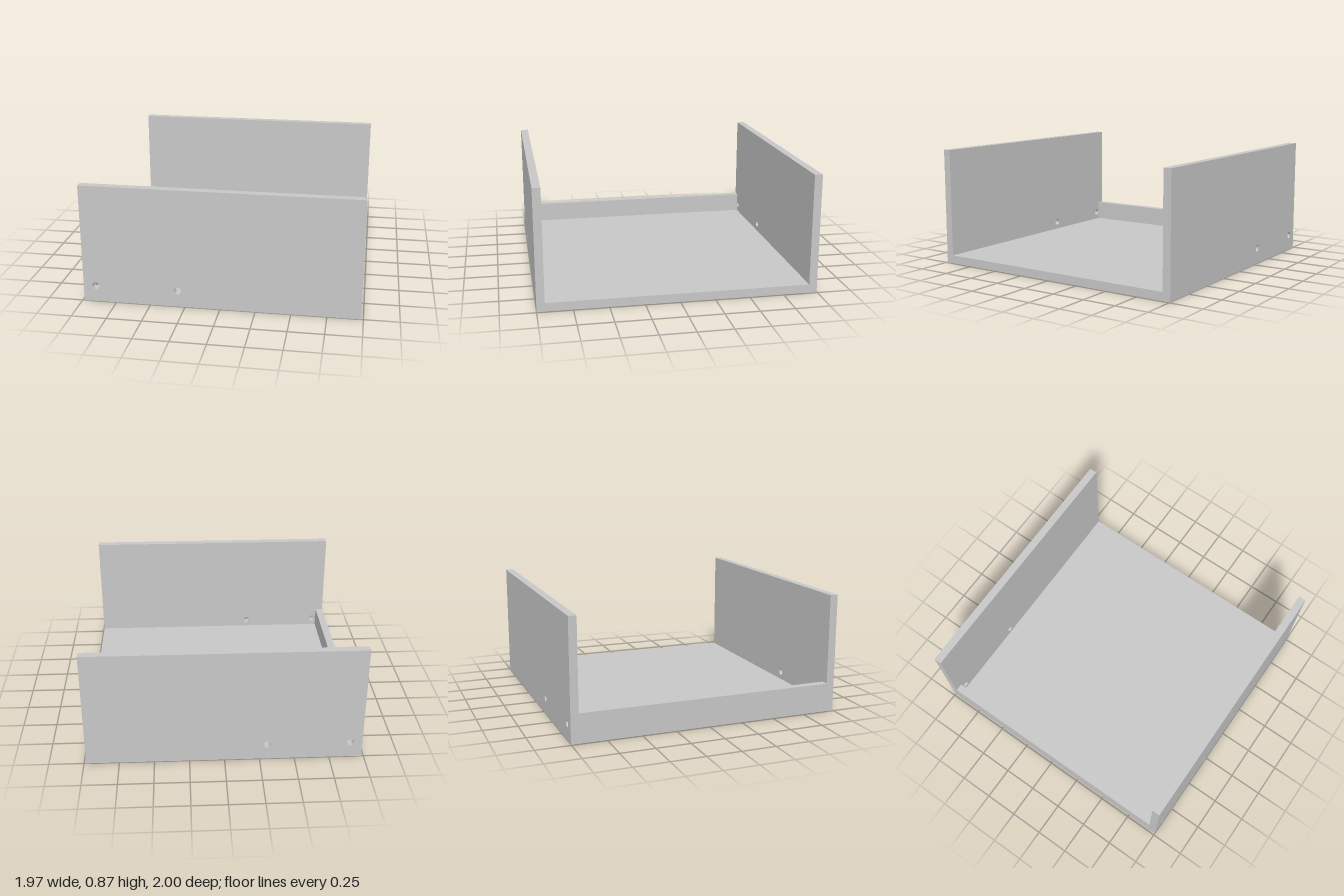
import * as THREE from 'three';

const HALF_X = 0.985, HEIGHT = 0.87, WALL = 0.058, FLOOR = 0.06, LIP = 0.21;
const HOLES = [-0.896, -0.3], HOLE_Y = 0.12, HOLE_R = 0.026;

export function createModel() {
  const model = new THREE.Group();
  model.name = 'tray';
  const grey = new THREE.MeshStandardMaterial({ color: 0xc8c8c8 });
  grey.name = 'lightGrey';

  const add = (name, geometry, x, y, z) => {
    const mesh = new THREE.Mesh(geometry, grey);
    mesh.name = name;
    mesh.position.set(x, y, z);
    model.add(mesh);
  };

  // Side wall outline with two round screw holes
  const outline = new THREE.Shape();
  outline.moveTo(-HALF_X, 0);
  outline.lineTo(HALF_X, 0);
  outline.lineTo(HALF_X, HEIGHT);
  outline.lineTo(-HALF_X, HEIGHT);
  outline.closePath();
  for (const x of HOLES) {
    outline.holes.push(new THREE.Path().absarc(x, HOLE_Y, HOLE_R, 0, Math.PI * 2, true));
  }
  const wall = new THREE.ExtrudeGeometry(outline, { depth: WALL, bevelEnabled: false, curveSegments: 16 });
  add('frontWall', wall, 0, 0, 1 - WALL);
  add('backWall', wall, 0, 0, -1);

  // Floor between the walls, and the low lip closing one end
  const inner = 2 - 2 * WALL;
  add('floor', new THREE.BoxGeometry(2 * HALF_X, FLOOR, inner), 0, FLOOR / 2, 0);
  add('endLip', new THREE.BoxGeometry(WALL, LIP - FLOOR, inner), -HALF_X + WALL / 2, (LIP + FLOOR) / 2, 0);

  return model;
}
